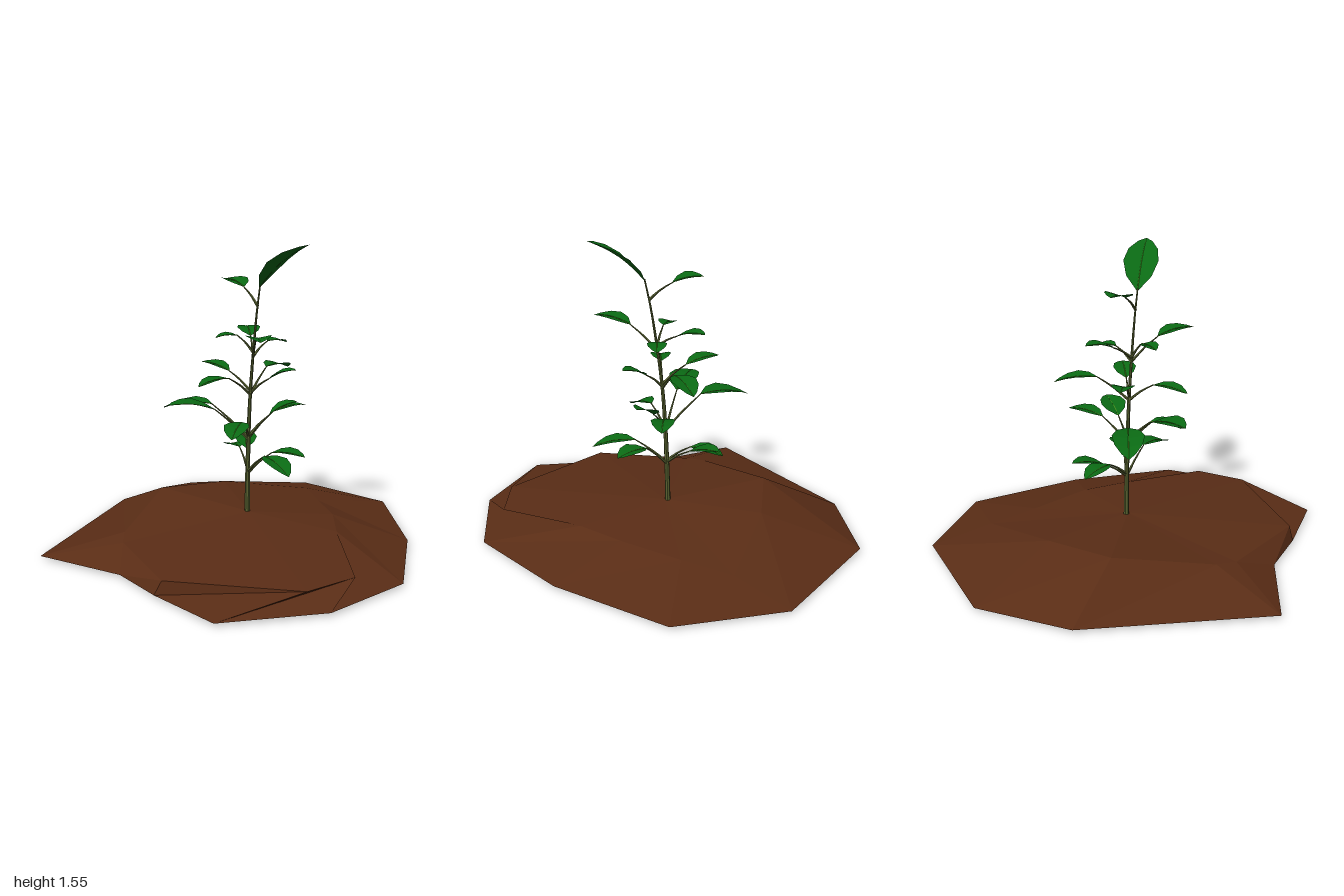
import * as THREE from 'three';

const paint = (color) => new THREE.MeshStandardMaterial({ color, flatShading: true, side: THREE.DoubleSide });
const soil = paint(0x5a2d16), bark = paint(0x56602f), green = paint(0x0b6a14), vein = paint(0x4a8a1a);
const V = (x, y, z) => new THREE.Vector3(x, y, z);

function mesh(name, geometry, material) {
  const m = new THREE.Mesh(geometry, material);
  m.name = name;
  return m;
}

function surface(points, index) {
  const g = new THREE.BufferGeometry().setFromPoints(points);
  g.setIndex(index);
  g.computeVertexNormals();
  return g;
}

// Tube whose radius shrinks from r0 to r1 along the path
function taperedTube(points, r0, r1, sides, steps) {
  const curve = new THREE.CatmullRomCurve3(points);
  const g = new THREE.TubeGeometry(curve, steps, 1, sides);
  const p = g.attributes.position;
  for (let i = 0; i < p.count; i++) {
    const t = Math.floor(i / (sides + 1)) / steps;
    const c = curve.getPointAt(t);
    const v = V(0, 0, 0).fromBufferAttribute(p, i).sub(c).multiplyScalar(r0 + (r1 - r0) * t).add(c);
    p.setXYZ(i, v.x, v.y, v.z);
  }
  g.computeVertexNormals();
  return g;
}

// Irregular faceted heap: outline, shoulder ring, crown and underside
function soilMound() {
  const outline = [[-0.24, -0.93], [0.26, -1], [0.85, -0.61], [1, -0.06], [0.68, 0.5], [0.27, 0.92],
    [-0.21, 0.99], [-0.69, 0.8], [-0.76, 0.4], [-0.78, 0.1], [-1, -0.34]];
  const shoulder = [[-0.2, 0.185, -0.53], [0.18, 0.165, -0.5], [0.66, 0.08, -0.35], [0.55, 0.095, -0.1],
    [0.42, 0.12, 0.2], [0.27, 0.12, 0.42], [0.03, 0.08, 0.86], [-0.25, 0.08, 0.87],
    [-0.73, 0.085, 0.42], [-0.66, 0.09, -0.1], [-0.6, 0.105, -0.2]];
  const n = outline.length;
  const points = [...outline.map(([x, z]) => V(x, 0.015, z)), ...shoulder.map((p) => V(...p)),
    V(0.02, 0.155, 0), V(0.28, 0, 0.55)];
  const index = [];
  for (let i = 0; i < n; i++) {
    const j = (i + 1) % n;
    index.push(i, n + i, j, j, n + i, n + j); // slope
    index.push(n + i, 2 * n, n + j); // crown
    index.push(i, j, 2 * n + 1); // underside
  }
  return mesh('soilMound', surface(points, index), soil);
}

// Folded, arched leaf blade from base to tip with a thin midrib
function leaf(base, tip, width) {
  const group = new THREE.Group();
  group.name = 'leaf';
  const along = tip.clone().sub(base), length = along.length();
  const side = V(-along.z, 0, along.x).normalize();
  const up = side.clone().cross(along).normalize();
  if (up.y < 0) up.negate();
  const profile = [[0, 0.06], [0.2, 0.72], [0.45, 1], [0.7, 0.84], [0.9, 0.42], [1, 0.02]];
  const points = [], rib = [], index = [];
  profile.forEach(([t, w], k) => {
    const mid = base.clone().addScaledVector(along, t).addScaledVector(up, Math.sin(t * Math.PI) * length * 0.07);
    const half = w * width / 2;
    for (const s of [-1, 0, 1]) {
      points.push(mid.clone().addScaledVector(side, s * half).addScaledVector(up, Math.abs(s) * half * 0.2));
    }
    rib.push(mid.clone().addScaledVector(up, 0.001));
    if (k) for (const c of [0, 1]) {
      const a = k * 3 - 3 + c;
      index.push(a, a + 3, a + 1, a + 1, a + 3, a + 4);
    }
  });
  group.add(mesh('leafBlade', surface(points, index), green));
  group.add(mesh('midrib', taperedTube(rib, 0.0025, 0.001, 4, 6), vein));
  return group;
}

export function createModel() {
  const model = new THREE.Group();
  model.name = 'seedling';
  model.add(soilMound());

  // Stem leaning gently forward
  const stemPath = [V(0.02, 0.1, -0.016), V(0.02, 0.36, -0.01), V(0.02, 0.6, 0), V(0.02, 0.8, 0.015),
    V(0.02, 1, 0.04), V(0.02, 1.2, 0.07), V(0.02, 1.345, 0.1)];
  model.add(mesh('stem', taperedTube(stemPath, 0.015, 0.004, 7, 18), bark));
  const stemAt = (y) => {
    const i = Math.max(1, stemPath.findIndex((p) => p.y >= y));
    const a = stemPath[i - 1], b = stemPath[i];
    return a.clone().lerp(b, (y - a.y) / (b.y - a.y));
  };

  // Each sprig: node height, leaf base height, tip x, y, z, leaf width
  const sprigs = [
    [0.37, 0.49, 0, 0.44, 0.38, 0.13], [0.36, 0.48, 0.21, 0.47, 0.23, 0.13],
    [0.37, 0.46, 0.18, 0.5, -0.28, 0.12], [0.38, 0.47, 0.09, 0.44, -0.3, 0.12],
    [0.54, 0.71, -0.38, 0.745, -0.13, 0.16], [0.55, 0.71, -0.24, 0.66, -0.43, 0.16],
    [0.56, 0.66, -0.2, 0.61, 0.18, 0.13], [0.55, 0.67, 0.38, 0.68, 0, 0.12],
    [0.56, 0.67, 0.23, 0.74, 0.13, 0.14],
    [0.78, 0.88, -0.3, 0.86, 0.04, 0.11], [0.78, 0.9, 0.37, 0.865, -0.15, 0.13],
    [0.79, 0.87, 0.17, 0.92, 0.2, 0.12], [0.8, 0.89, -0.1, 0.92, -0.27, 0.12],
    [0.98, 1.09, -0.16, 1.11, 0.37, 0.13], [0.98, 1.05, 0.23, 1.035, 0.03, 0.1],
    [1, 1.07, 0.14, 1.1, -0.2, 0.12], [1, 1.09, -0.16, 1.08, -0.03, 0.1],
    [1.24, 1.325, 0, 1.355, -0.19, 0.15],
  ];
  for (const [nodeY, baseY, x, y, z, width] of sprigs) {
    const node = stemAt(nodeY), tip = V(x, y, z);
    const base = node.clone().lerp(tip, 0.42).setY(baseY);
    const bend = node.clone().lerp(base, 0.5).add(V(0, 0.008, 0));
    model.add(mesh('leafStalk', taperedTube([node, bend, base], 0.008, 0.003, 5, 4), bark));
    model.add(leaf(base, tip, width));
  }

  // Upright leaf at the growing tip
  model.add(leaf(V(0.02, 1.335, 0.098), V(0.12, 1.55, 0.365), 0.18));
  return model;
}
